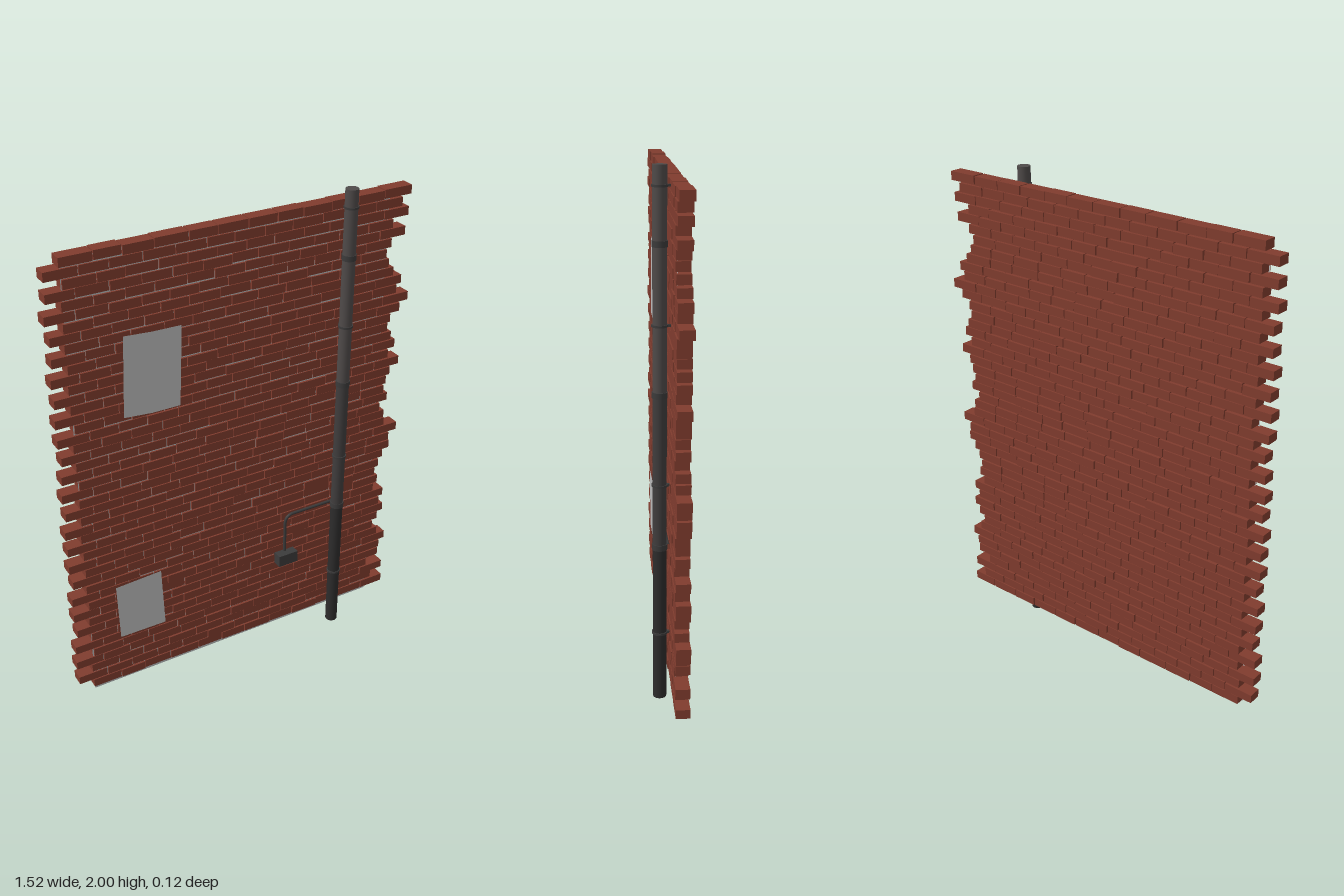
import * as THREE from 'three';
import { mergeGeometries } from 'three/addons/utils/BufferGeometryUtils.js';

const mat = (name, color, extra = {}) => {
  const m = new THREE.MeshStandardMaterial({ color, ...extra });
  m.name = name;
  return m;
};

// small seeded generator for the brick irregularities
function seeded(seed) {
  return () => {
    seed = (seed * 1664525 + 1013904223) % 4294967296;
    return seed / 4294967296;
  };
}

// ragged right ends of the brick courses, top to bottom
const RIGHT_ENDS = [
  .74, .70, .73, .66, .72, .66, .64, .655, .68, .72, .70, .76, .72, .68, .67, .69,
  .71, .68, .735, .695, .68, .67, .69, .655, .68, .685, .75, .715, .72, .69, .67, .655,
  .67, .65, .705, .685, .71, .685, .66, .685, .73, .705, .70, .64, .725, .67, .73,
];

export function createModel() {
  const brick = mat('brick red', 0x803c2e);
  const mortar = mat('mortar grey', 0xb9bcbd, { side: THREE.DoubleSide });
  const paper = mat('paper grey', 0xbcbcbc, { side: THREE.DoubleSide });
  const pipeTop = mat('pipe grey', 0x4f4a49);
  const pipeMid = mat('pipe dark grey', 0x403d3d);
  const pipeLow = mat('pipe soot', 0x2d2c2c);
  const metal = mat('fitting grey', 0x3c3b3b);

  const group = new THREE.Group();
  const add = (name, geometry, material, x = 0, y = 0, z = 0) => {
    const mesh = new THREE.Mesh(geometry, material);
    mesh.name = name;
    mesh.position.set(x, y, z);
    group.add(mesh);
    return mesh;
  };

  // brick courses in running bond
  const rand = seeded(7);
  const jitter = (a) => (rand() - 0.5) * 2 * a;
  const bricks = [];
  RIGHT_ENDS.forEach((end, row) => {
    const y = 1.932 - row * 0.04;
    const start = (row % 2 ? -0.76 : -0.697) + jitter(0.008);
    const count = Math.round((end - start) / 0.121);
    const pitch = (end - start) / count;
    let left = start;
    for (let i = 0; i < count; i++) {
      const right = i === count - 1 ? end : start + pitch * (i + 1) + jitter(0.008);
      const g = new THREE.BoxGeometry(right - left - 0.004, 0.035, 0.053);
      g.translate((left + right) / 2, y + jitter(0.0015), -0.0325 + jitter(0.0025));
      bricks.push(g);
      left = right;
    }
  });
  add('bricks', mergeGeometries(bricks), brick);

  // mortar sheet just behind the brick faces
  add('mortar', new THREE.PlaneGeometry(1.335, 1.88), mortar, -0.026, 1.0, -0.013);

  // pasted paper sheets, slightly crooked
  const sheet = (name, corners) => {
    const shape = new THREE.Shape(corners.map(([x, y]) => new THREE.Vector2(x, y)));
    add(name, new THREE.ShapeGeometry(shape), paper, 0, 0, -0.001);
  };
  sheet('upperPoster', [[-.50, 1.29], [-.385, 1.28], [-.27, 1.28], [-.255, 1.605], [-.37, 1.607], [-.485, 1.615]]);
  sheet('lowerPoster', [[-.57, .287], [-.37, .285], [-.38, .55], [-.578, .54]]);

  // drainpipe in three lengths, darker towards the ground
  const px = 0.436, pz = 0.031;
  [['pipeUpper', 1.2, 2, pipeTop], ['pipeMiddle', 0.62, 1.2, pipeMid], ['pipeLower', 0, 0.62, pipeLow]]
    .forEach(([name, y0, y1, m]) => {
      add(name, new THREE.CylinderGeometry(0.0255, 0.0255, y1 - y0, 20), m, px, (y0 + y1) / 2, pz);
    });

  // socket collars at the joints
  for (const y of [1.735, 1.2, 0.62]) {
    add('pipeCollar', new THREE.CylinderGeometry(0.0285, 0.0285, 0.022, 20), metal, px, y, pz);
  }

  // clamps tied back to the wall
  for (const y of [1.93, 1.45, 0.86, 0.27]) {
    add('pipeClamp', new THREE.CylinderGeometry(0.0295, 0.0295, 0.008, 20), metal, px, y, pz);
    add('clampStay', new THREE.BoxGeometry(0.012, 0.008, 0.04), metal, px, y, 0.005);
  }

  // cable conduit bending down into the junction box
  const path = new THREE.CurvePath();
  const v = (x, y) => new THREE.Vector3(x, y, 0.0);
  path.add(new THREE.LineCurve3(v(0.43, 0.618), v(0.24, 0.618)));
  path.add(new THREE.QuadraticBezierCurve3(v(0.24, 0.618), v(0.2, 0.618), v(0.2, 0.575)));
  path.add(new THREE.LineCurve3(v(0.2, 0.575), v(0.2, 0.43)));
  add('conduit', new THREE.TubeGeometry(path, 48, 0.0065, 8), metal);
  add('junctionBox', new THREE.BoxGeometry(0.09, 0.052, 0.043), metal, 0.2, 0.414, 0.0115);

  return group;
}
